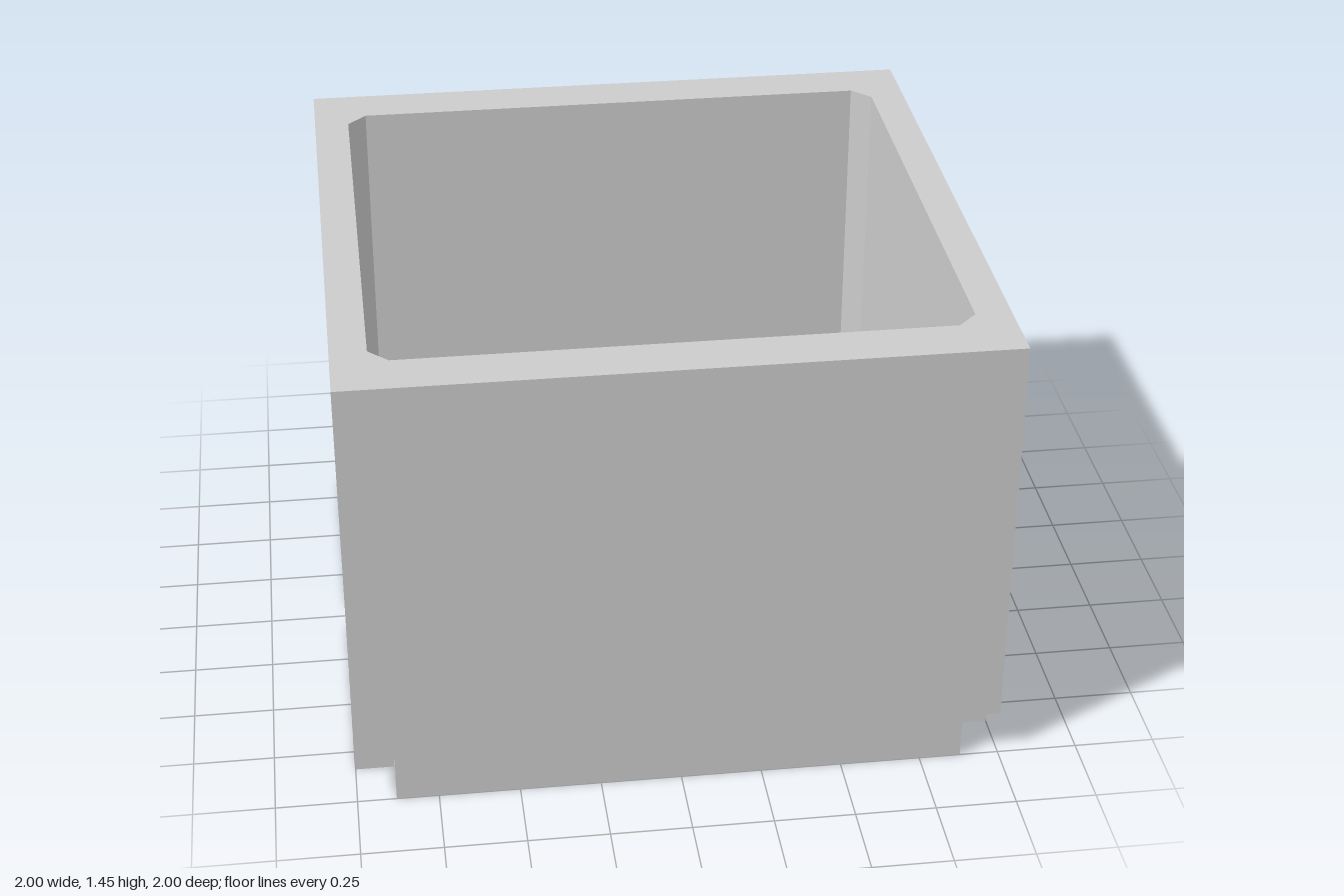
import * as THREE from 'three';

const HEIGHT = 1.45, BASE = 0.15, FLOOR = 0.22;

// Rectangle with cut corners, counter-clockwise, at height z
function ring(hx, hy, cut, z, cy = 0) {
  return [
    [hx, -hy + cut], [hx, hy - cut], [hx - cut, hy], [-hx + cut, hy],
    [-hx, hy - cut], [-hx, -hy + cut], [-hx + cut, -hy], [hx - cut, -hy],
  ].map(([x, y]) => new THREE.Vector3(x, y + cy, z));
}

// Hollow skin running from the open ring down to a closed bottom
function hollow(rings) {
  const pos = [];
  const tri = (a, b, c) => {
    if (a.equals(b) || b.equals(c) || a.equals(c)) return;
    for (const p of [a, b, c]) pos.push(p.x, p.y, p.z);
  };
  for (let r = 0; r < rings.length - 1; r++) {
    const a = rings[r], b = rings[r + 1];
    a.forEach((p, i) => {
      const j = (i + 1) % a.length;
      tri(p, a[j], b[j]);
      tri(p, b[j], b[i]);
    });
  }
  const last = rings[rings.length - 1];
  for (let i = 1; i < last.length - 1; i++) tri(last[0], last[i], last[i + 1]);
  const geo = new THREE.BufferGeometry();
  geo.setAttribute('position', new THREE.Float32BufferAttribute(pos, 3));
  geo.computeVertexNormals();
  return geo;
}

function flatShape(points, hole) {
  const shape = new THREE.Shape(points.map(([x, y]) => new THREE.Vector2(x, y)));
  if (hole) shape.holes.push(new THREE.Path(hole.map((p) => new THREE.Vector2(p.x, p.y))));
  return shape;
}

export function createModel() {
  const model = new THREE.Group();
  model.name = 'crate';
  const grey = new THREE.MeshStandardMaterial({ color: 0xcccccc });
  grey.name = 'light grey';

  const add = (name, geo) => {
    const mesh = new THREE.Mesh(geo, grey);
    mesh.name = name;
    model.add(mesh);
    return mesh;
  };

  // Base slab with corner notches and a middle notch on each side
  const half = [
    [0.88, -1], [0.88, -0.84], [1, -0.84], [1, -0.06], [0.88, -0.06],
    [0.88, 0.06], [1, 0.06], [1, 0.84], [0.88, 0.84], [0.88, 1],
  ];
  const outline = [...half, ...half.map(([x, y]) => [-x, -y])];
  add('base', new THREE.ExtrudeGeometry(flatShape(outline), { depth: BASE, bevelEnabled: false })
    .rotateX(-Math.PI / 2));

  // Ceiling of the notches
  add('notchCeiling', new THREE.PlaneGeometry(2, 2).rotateX(Math.PI / 2).translate(0, BASE, 0));

  // Front and back walls
  const wallHeight = HEIGHT - BASE;
  for (const [name, turn] of [['frontWall', 0], ['backWall', Math.PI]]) {
    add(name, new THREE.PlaneGeometry(2, wallHeight)
      .translate(0, BASE + wallHeight / 2, 1).rotateY(turn));
  }

  // Side walls with recessed grips
  const gripY = 1.152;
  const grip = [
    ring(0.19, 0.052, 0, 0, gripY),
    ring(0.19, 0.052, 0, -0.028, gripY),
    ring(0.176, 0.038, 0, -0.042, gripY),
  ];
  const gripHole = [0, 2, 4, 6].map((i) => grip[0][i]);
  const panel = [[-1, BASE], [1, BASE], [1, HEIGHT], [-1, HEIGHT]];
  for (const [side, turn] of [['left', Math.PI / 2], ['right', -Math.PI / 2]]) {
    add(side + 'Wall', new THREE.ShapeGeometry(flatShape(panel, gripHole))
      .translate(0, 0, 1).rotateY(turn));
    add(side + 'Grip', hollow(grip).translate(0, 0, 1).rotateY(turn));
  }

  // Rim and inner cavity with chamfered corners and floor edges
  const cut = 0.06, hx = 0.89, hz = 0.84;
  const cavity = [
    ring(hx, hz, cut, HEIGHT),
    ring(hx, hz, cut, FLOOR + cut),
    ring(hx - cut, hz - cut, 0, FLOOR),
  ];
  add('rim', new THREE.ShapeGeometry(flatShape([[-1, -1], [1, -1], [1, 1], [-1, 1]], cavity[0]))
    .rotateX(-Math.PI / 2).translate(0, HEIGHT, 0));
  add('cavity', hollow(cavity).rotateX(-Math.PI / 2));

  return model;
}
